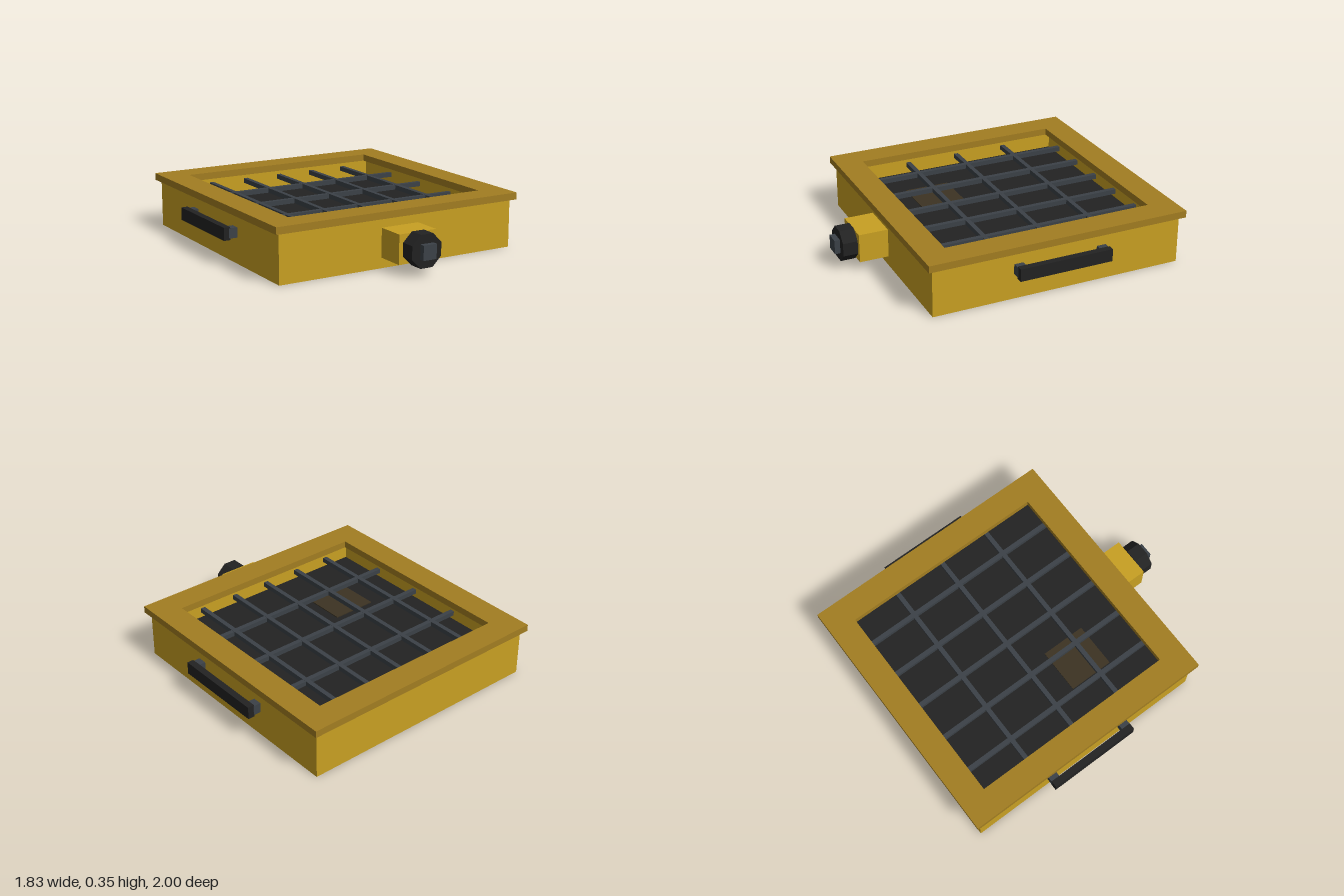
import * as THREE from 'three';

const CZ = -0.143; // centre of the tray in z

function material(name, color) {
  const m = new THREE.MeshStandardMaterial({ color });
  m.name = name;
  return m;
}

// Square frame lying flat, from y0 to y1
function frame(outer, inner, y0, y1) {
  const square = (path, h) => path.moveTo(-h, -h).lineTo(h, -h).lineTo(h, h).lineTo(-h, h).closePath();
  const shape = square(new THREE.Shape(), outer);
  shape.holes.push(square(new THREE.Path(), inner));
  const geo = new THREE.ExtrudeGeometry(shape, { depth: y1 - y0, bevelEnabled: false });
  return geo.rotateX(-Math.PI / 2).translate(0, y0, CZ);
}

export function createModel() {
  const yellow = material('yellow', 0xc8a022);
  const ochre = material('ochre', 0xa27d21);
  const black = material('black', 0x222222);
  const grey = material('slate grey', 0x3b4147);
  const brown = material('dark brown', 0x3c3322);

  const model = new THREE.Group();
  model.name = 'tray';

  const add = (name, geo, mat, parent = model) => {
    const mesh = new THREE.Mesh(geo, mat);
    mesh.name = name;
    parent.add(mesh);
    return mesh;
  };
  const box = (name, mat, x0, x1, y0, y1, z0, z1, parent) =>
    add(name, new THREE.BoxGeometry(x1 - x0, y1 - y0, z1 - z0)
      .translate((x0 + x1) / 2, (y0 + y1) / 2, (z0 + z1) / 2), mat, parent);

  // Tray walls, base and overhanging rim
  add('walls', frame(0.825, 0.745, 0, 0.31), yellow);
  box('base', yellow, -0.745, 0.745, 0, 0.03, CZ - 0.745, CZ + 0.745);
  add('rim', frame(0.856, 0.684, 0.31, 0.355), ochre);

  // Dark bed with a small patch
  box('bed', black, -0.745, 0.745, 0.03, 0.185, CZ - 0.745, CZ + 0.745);
  box('patch', brown, -0.47, -0.175, 0.185, 0.191, 0.027, 0.322);

  // Grid of bars
  const grid = new THREE.Group();
  grid.name = 'grid';
  model.add(grid);
  for (let i = -2; i <= 2; i++) {
    const x = i * 0.257;
    box('lengthBar', grey, x - 0.015, x + 0.015, 0.253, 0.284, CZ - 0.7, CZ + 0.7, grid);
  }
  for (let i = -1; i <= 1; i++) {
    const z = CZ + i * 0.353;
    box('crossBar', grey, -0.7, 0.7, 0.253, 0.283, z - 0.015, z + 0.015, grid);
  }

  // Side handles
  for (const side of [-1, 1]) {
    const handle = new THREE.Group();
    handle.name = side > 0 ? 'leftHandle' : 'rightHandle';
    model.add(handle);
    const span = (a, b) => (side > 0 ? [a, b] : [-b, -a]);
    box('grip', black, ...span(0.872, 0.915), 0.157, 0.238, -0.453, 0.16, handle);
    for (const z of [-0.453, 0.1]) {
      box('mount', grey, ...span(0.82, 0.88), 0.166, 0.23, z, z + 0.06, handle);
    }
  }

  // Outlet block, octagonal nut and square plug
  box('outletBlock', yellow, -0.13, 0.13, 0.065, 0.25, 0.68, 0.87);
  const nut = new THREE.CylinderGeometry(0.111, 0.111, 0.095, 8).toNonIndexed();
  nut.rotateY(Math.PI / 8).rotateX(Math.PI / 2).translate(0, 0.155, 0.9175);
  nut.computeVertexNormals();
  add('outletNut', nut, black);
  box('outletPlug', grey, -0.046, 0.046, 0.109, 0.201, 0.96, 1.0);

  return model;
}
